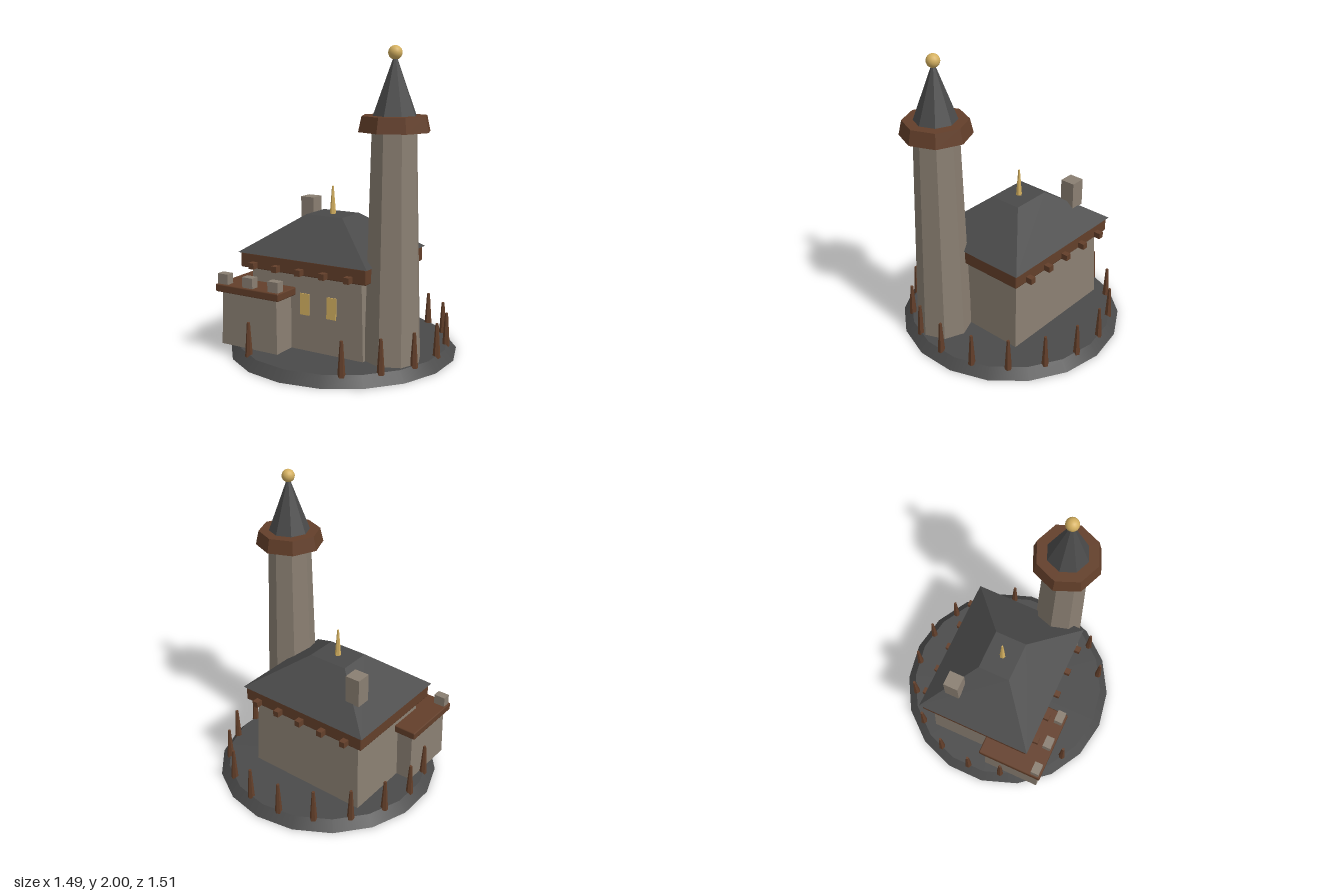
import * as THREE from 'three';
import { RoundedBoxGeometry } from 'three/addons/geometries/RoundedBoxGeometry.js';

const mat = (name, color) => {
  const m = new THREE.MeshStandardMaterial({ color });
  m.name = name;
  return m;
};

export function createModel() {
  const model = new THREE.Group();
  const stone = mat('stone', 0x8a7f72);
  const slate = mat('slate', 0x4a4a4a);
  const wood = mat('wood', 0x633f2a);
  const gold = mat('gold', 0xd4b060);

  const add = (name, geometry, material, x, y, z) => {
    const mesh = new THREE.Mesh(geometry, material);
    mesh.name = name;
    mesh.position.set(x, y, z);
    model.add(mesh);
    return mesh;
  };

  // faceted normals
  const flat = (geometry) => {
    const g = geometry.index ? geometry.toNonIndexed() : geometry;
    g.computeVertexNormals();
    return g;
  };

  // box standing on y = 0 whose top is scaled inwards
  const taperedBox = (w, h, d, topW, topD) => {
    const g = new THREE.BoxGeometry(w, h, d).translate(0, h / 2, 0);
    const p = g.attributes.position;
    for (let i = 0; i < p.count; i++) {
      if (p.getY(i) > h / 2) p.setXYZ(i, p.getX(i) * topW / w, h, p.getZ(i) * topD / d);
    }
    return flat(g);
  };

  // faceted round part standing on y = 0
  const prism = (rTop, rBottom, h, sides) =>
    flat(new THREE.CylinderGeometry(rTop, rBottom, h, sides).translate(0, h / 2, 0));

  // ground
  add('groundDisc', new THREE.CylinderGeometry(0.7, 0.757, 0.065, 18), slate, 0, 0.0325, 0);

  // house
  const hx = -0.082;
  add('houseWalls', taperedBox(0.865, 0.51, 0.7, 0.825, 0.67), stone, hx, 0.065, 0);
  add('eaveBand', new RoundedBoxGeometry(0.945, 0.1, 0.775, 1, 0.008), wood, hx, 0.616, 0);
  add('houseRoof', taperedBox(0.97, 0.24, 0.8, 0.275, 0.22), slate, hx, 0.665, 0);
  add('roofSpike', prism(0.006, 0.021, 0.19, 6), gold, hx, 0.9, 0);
  add('chimney', new THREE.BoxGeometry(0.102, 0.19, 0.102), stone, -0.388, 0.872, -0.207);

  // beam ends under the eaves, front and back
  for (const side of [1, -1]) {
    for (let i = -2; i <= 2; i++) {
      add('beamEnd', new THREE.BoxGeometry(0.04, 0.04, 0.07), wood, hx + i * 0.179, 0.592, side * 0.398);
    }
  }

  // windows
  for (const x of [-0.082, 0.118]) {
    add('window', new THREE.BoxGeometry(0.07, 0.14, 0.009), gold, x, 0.37, 0.343).rotation.x = -0.029;
  }

  // annex with a flat roof and merlons
  add('annexWalls', taperedBox(0.44, 0.36, 0.41, 0.425, 0.395), stone, -0.403, 0.065, 0.308);
  add('annexRoof', new RoundedBoxGeometry(0.497, 0.052, 0.456, 1, 0.008), wood, -0.403, 0.445, 0.308);
  for (let i = -1; i <= 1; i++) {
    add('merlon', new THREE.BoxGeometry(0.08, 0.075, 0.057), stone, -0.403 + i * 0.198, 0.502, 0.494);
  }

  // tower
  const tx = 0.47, tz = 0.187;
  add('towerShaft', prism(0.143, 0.183, 1.43, 8), stone, tx, 0.065, tz);
  add('towerCollar', prism(0.206, 0.227, 0.095, 8), wood, tx, 1.49, tz);
  add('towerRoof', prism(0.006, 0.138, 0.36, 8), slate, tx, 1.583, tz);
  add('towerBall', new THREE.SphereGeometry(0.043, 16, 12), gold, tx, 1.957, tz);

  // ring of stakes with a gap at the front
  for (let k = 0; k < 18; k++) {
    if (k === 4 || k === 5) continue;
    const a = k * Math.PI / 9;
    add('stake', prism(0.01, 0.025, 0.225, 6), wood, 0.687 * Math.cos(a), 0.05, 0.687 * Math.sin(a));
  }

  return model;
}
